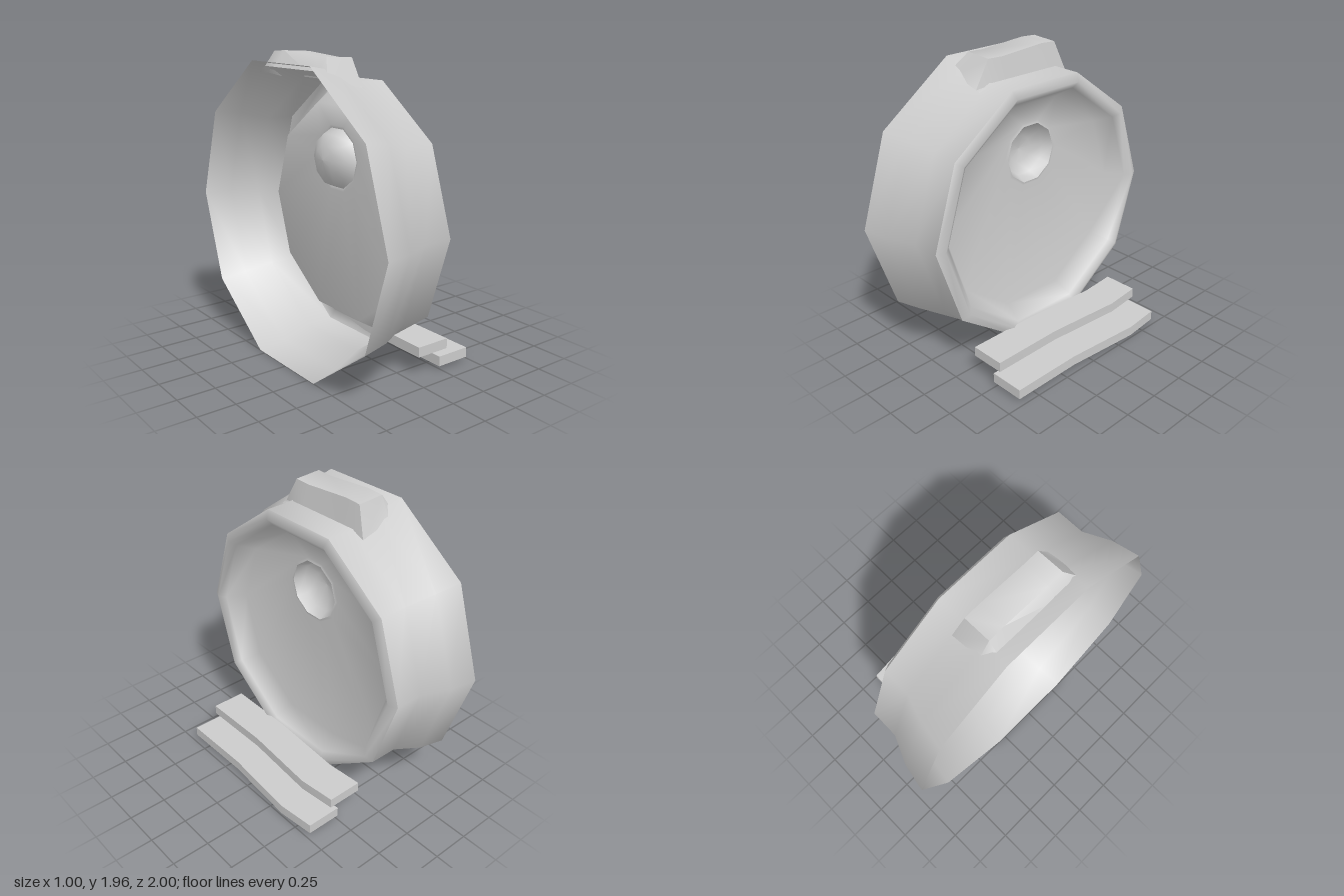
import * as THREE from 'three';
import { toCreasedNormals } from 'three/addons/utils/BufferGeometryUtils.js';

const SIDES = 10;
const material = new THREE.MeshStandardMaterial({ color: 0xcccccc, side: THREE.DoubleSide });

// Smooth surface through rows of points; closed rows wrap round
function loft(rows, closed) {
  const n = rows[0].length, index = [];
  const spans = closed ? n : n - 1;
  for (let j = 0; j < rows.length - 1; j++) {
    for (let i = 0; i < spans; i++) {
      const k = (i + 1) % n;
      const a = j * n + i, b = j * n + k, c = b + n, d = a + n;
      index.push(a, d, c, a, c, b);
    }
  }
  const geometry = new THREE.BufferGeometry();
  geometry.setAttribute('position', new THREE.Float32BufferAttribute(rows.flat(2), 3));
  geometry.setIndex(index);
  geometry.computeVertexNormals();
  return geometry;
}

// Ten-sided ring facing +x
function ring(x, radius, centreY = 0.955) {
  return Array.from({ length: SIDES }, (_, i) => {
    const a = (i / SIDES) * Math.PI * 2;
    return [x, centreY + radius * Math.sin(a), radius * Math.cos(a)];
  });
}

function addMesh(group, name, geometry) {
  const mesh = new THREE.Mesh(geometry, material);
  mesh.name = name;
  group.add(mesh);
  return mesh;
}

// Step with a gently wavy long edge
function plank(front, back) {
  const z = [-0.62, -0.37, 0.15, 0.635];
  const outline = [
    ...z.map((v, i) => new THREE.Vector2(front[i], v)),
    ...z.map((v, i) => new THREE.Vector2(back[i], v)).reverse(),
  ];
  const geometry = new THREE.ExtrudeGeometry(new THREE.Shape(outline), { depth: 0.066, bevelEnabled: false });
  geometry.rotateX(Math.PI / 2);
  return toCreasedNormals(geometry, 0.6);
}

export function createModel() {
  const group = new THREE.Group();

  // Flared frame, open at the back
  addMesh(group, 'frameShell', loft([
    ring(-0.5, 1), ring(-0.32, 0.965), ring(-0.14, 0.887), ring(0.05, 0.885),
  ], true));

  // Front rim sloping in to the recessed door panel, with an off-centre opening
  addMesh(group, 'doorPanel', loft([
    ring(0.05, 0.885), ring(0.077, 0.83), ring(0.04, 0.785), ring(-0.08, 0.71),
    ring(-0.09, 0.215, 1.3), ring(-0.085, 0.196, 1.3),
  ], true));

  // Hollow bowl in the panel
  addMesh(group, 'windowBowl', loft([
    ring(-0.085, 0.196, 1.3), ring(-0.15, 0.165, 1.3), ring(-0.19, 0.09, 1.3), ring(-0.2, 0, 1.3),
  ], true));

  // Raised block on top of the frame, as sections along z
  const section = (z, back, topBack, topFront, front) =>
    [[-0.42, back, z], [-0.35, topBack, z], [-0.17, topFront, z], [-0.14, front, z]];
  const hump = loft([
    section(0.36, 1.83, 1.82, 1.77, 1.76),
    section(0.26, 1.87, 1.95, 1.94, 1.79),
    section(0.15, 1.87, 1.945, 1.935, 1.79),
    section(-0.18, 1.87, 1.967, 1.957, 1.79),
    section(-0.29, 1.87, 1.96, 1.95, 1.79),
    section(-0.36, 1.83, 1.82, 1.77, 1.76),
  ], false);
  // Turn the faces outward
  const index = hump.getIndex().array;
  for (let i = 0; i < index.length; i += 3) [index[i], index[i + 1]] = [index[i + 1], index[i]];
  hump.computeVertexNormals();
  addMesh(group, 'topBlock', toCreasedNormals(hump, 0.95));

  // Two steps in front of the door
  addMesh(group, 'upperStep', plank([0.305, 0.33, 0.29, 0.295], [0.07, 0.09, 0.06, 0.06])).position.y = 0.205;
  addMesh(group, 'lowerStep', plank([0.48, 0.505, 0.465, 0.47], [0.245, 0.265, 0.235, 0.235])).position.y = 0.097;

  return group;
}
